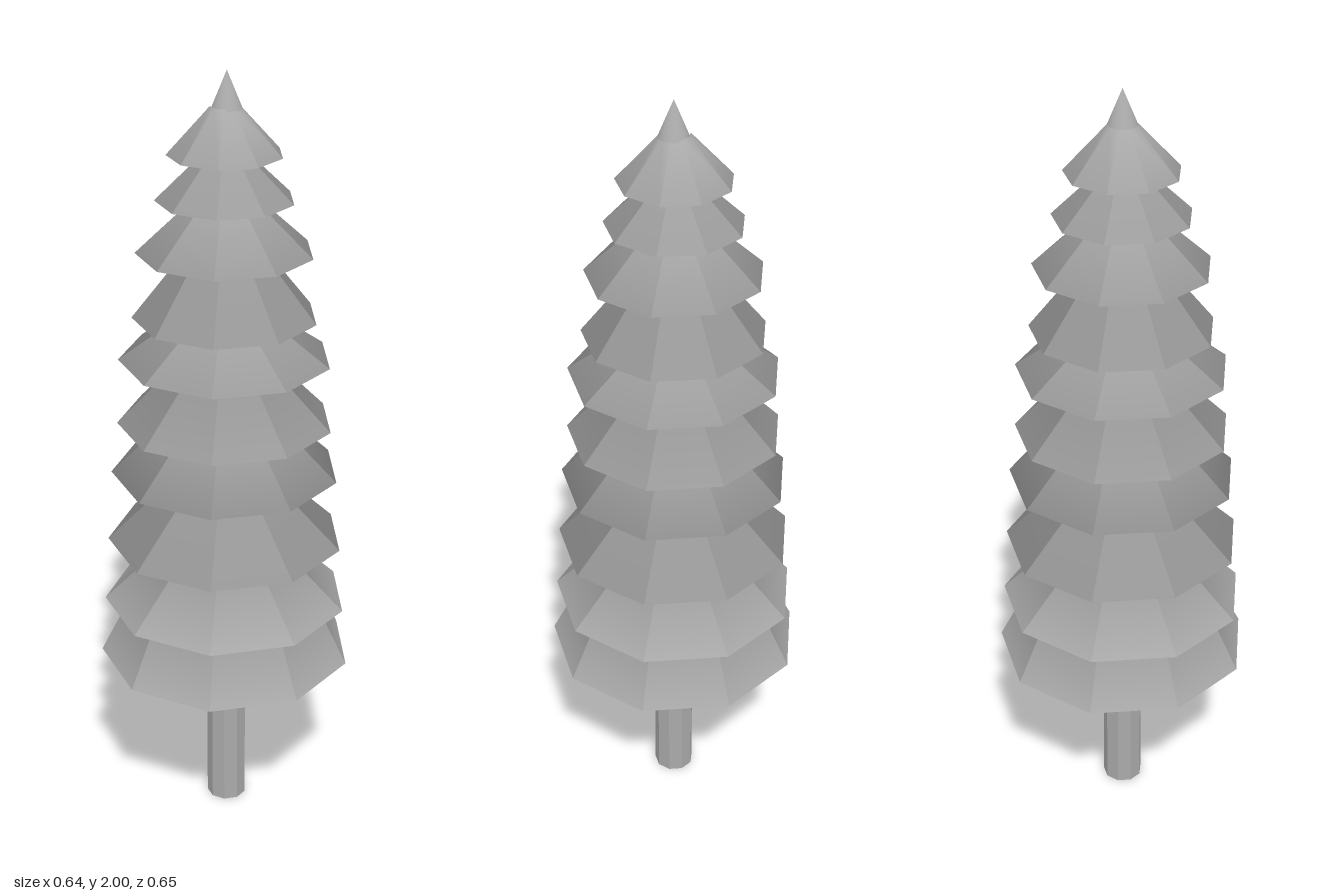
import * as THREE from 'three';
import { mergeVertices } from 'three/addons/utils/BufferGeometryUtils.js';

const SIDES = 9;
const STEP = (2 * Math.PI) / SIDES;
const COLOR = 0xaaaaaa;

// Nine-sided solid turned about the trunk, with one corner on +x
const turned = (points) => new THREE.LatheGeometry(
  points.map(([r, y]) => new THREE.Vector2(r, y)), SIDES, Math.PI / 2);

// Keeps shading smooth up and down each side, but sharp between sides.
// Corners closer to the axis than roundRadius stay smooth all round.
function creaseSides(geometry, roundRadius) {
  const g = geometry.toNonIndexed();
  const { position: p, normal: n } = g.attributes;
  for (let i = 0; i < p.count; i += 3) {
    const cx = p.getX(i) + p.getX(i + 1) + p.getX(i + 2);
    const cz = p.getZ(i) + p.getZ(i + 1) + p.getZ(i + 2);
    const side = (Math.floor(Math.atan2(cz, cx) / STEP) + 0.5) * STEP;
    for (let j = i; j < i + 3; j++) {
      const radius = Math.hypot(p.getX(j), p.getZ(j));
      if (radius < roundRadius) continue;
      const out = (n.getX(j) * p.getX(j) + n.getZ(j) * p.getZ(j)) / radius;
      n.setXYZ(j, out * Math.cos(side), n.getY(j), out * Math.sin(side));
    }
  }
  return g;
}

export function createModel() {
  const tree = new THREE.Group();
  tree.name = 'coniferTree';
  const flat = new THREE.MeshStandardMaterial({ color: COLOR, flatShading: true });
  const smooth = new THREE.MeshStandardMaterial({ color: COLOR });

  const add = (name, geometry, material, x, y = 0) => {
    const mesh = new THREE.Mesh(geometry, material);
    mesh.name = name;
    mesh.position.set(x, y, 0);
    tree.add(mesh);
  };

  // Trunk
  add('trunk', turned([[0, 0], [0.052, 0], [0.052, 0.47], [0, 0.47]]), flat, -0.006);

  // Branch tiers, bottom to top: [rim radius, rim height, neck radius, neck height]
  const tiers = [
    [0.328, 0.46, 0.25, 0.615],
    [0.315, 0.615, 0.15, 0.775],
    [0.303, 0.79, 0.143, 0.945],
    [0.29, 0.98, 0.165, 1.1],
    [0.272, 1.115, 0.145, 1.245],
    [0.266, 1.285, 0.125, 1.385],
    [0.23, 1.395, 0.115, 1.54],
    [0.219, 1.56, 0.1, 1.67],
    [0.17, 1.69, 0.077, 1.78],
    [0.141, 1.8, 0.036, 1.915],
  ];
  const profile = tiers.flatMap(([rimR, rimY, neckR, neckY]) => [[rimR, rimY], [neckR, neckY]]);
  add('foliage', creaseSides(turned(profile), 0.04), smooth, -0.008);

  // Flat underside of the lowest tier
  add('foliageBase', turned([[0, 0.46], [0.328, 0.46]]), flat, -0.008);

  // Round pointed leader at the top, shaded smoothly over its tip
  const spike = new THREE.ConeGeometry(0.037, 0.09, 24, 1, true);
  spike.deleteAttribute('normal');
  spike.deleteAttribute('uv');
  const spikeGeometry = mergeVertices(spike);
  spikeGeometry.computeVertexNormals();
  add('topSpike', spikeGeometry, smooth, -0.004, 1.955);

  return tree;
}
